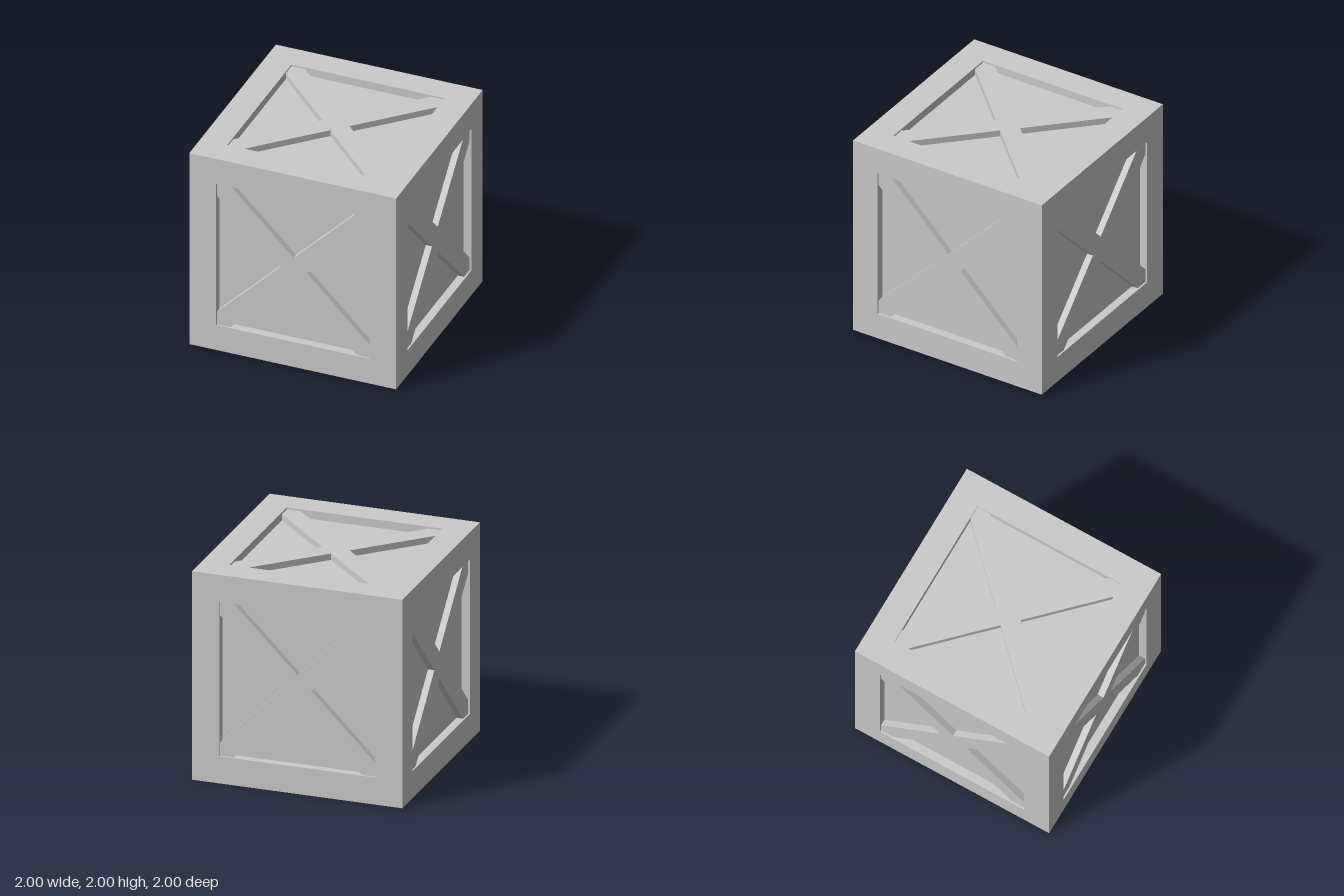
import * as THREE from 'three';

const HALF = 1;        // half the crate's side
const OPEN = 0.74;     // half the opening inside each frame
const PANEL = 0.922;   // distance of the panels from the centre
const BRACE = 0.983;   // distance of the brace fronts from the centre
const ARM = 0.13;      // half the brace width, measured along x

export function createModel() {
  const group = new THREE.Group();
  const material = new THREE.MeshStandardMaterial({ color: 0xcccccc, flatShading: true });

  const add = (name, geometry, parent) => {
    const mesh = new THREE.Mesh(geometry, material);
    mesh.name = name;
    parent.add(mesh);
    return mesh;
  };

  const crate = new THREE.Group();
  crate.name = 'crate';
  crate.position.y = HALF;
  group.add(crate);

  // Recessed panels: the six sides of an inner box
  add('panels', new THREE.BoxGeometry(2 * PANEL, 2 * PANEL, 2 * PANEL), crate);

  // Frame: four full-height posts, with rails fitted between them
  const beam = HALF - OPEN;
  const mid = (HALF + OPEN) / 2;
  const post = new THREE.BoxGeometry(beam, 2 * HALF, beam);
  const railX = new THREE.BoxGeometry(2 * OPEN, beam, beam);
  const railZ = new THREE.BoxGeometry(beam, beam, 2 * OPEN);
  for (const a of [-mid, mid]) {
    for (const b of [-mid, mid]) {
      add('cornerPost', post, crate).position.set(a, 0, b);
      add('sideRail', railX, crate).position.set(0, a, b);
      add('depthRail', railZ, crate).position.set(a, b, 0);
    }
  }

  // Cross brace: one arm's outline turned four times, ends trimmed to the opening
  const arm = [[ARM, 0], [OPEN, OPEN - ARM], [OPEN, OPEN], [OPEN - ARM, OPEN]];
  const outline = [];
  for (let i = 0; i < 4; i++) {
    for (const [x, y] of arm) {
      outline.push(new THREE.Vector2(x, y).rotateAround(new THREE.Vector2(), i * Math.PI / 2));
    }
  }
  const brace = new THREE.ExtrudeGeometry(new THREE.Shape(outline), {
    depth: BRACE - PANEL, bevelEnabled: false,
  });
  brace.translate(0, 0, PANEL);

  // One brace on every side
  const q = Math.PI / 2;
  const sides = {
    front: [0, 0], left: [0, q], back: [0, 2 * q], right: [0, -q], top: [-q, 0], bottom: [q, 0],
  };
  for (const [side, [rx, ry]] of Object.entries(sides)) {
    add(side + 'CrossBrace', brace, crate).rotation.set(rx, ry, 0);
  }

  return group;
}
